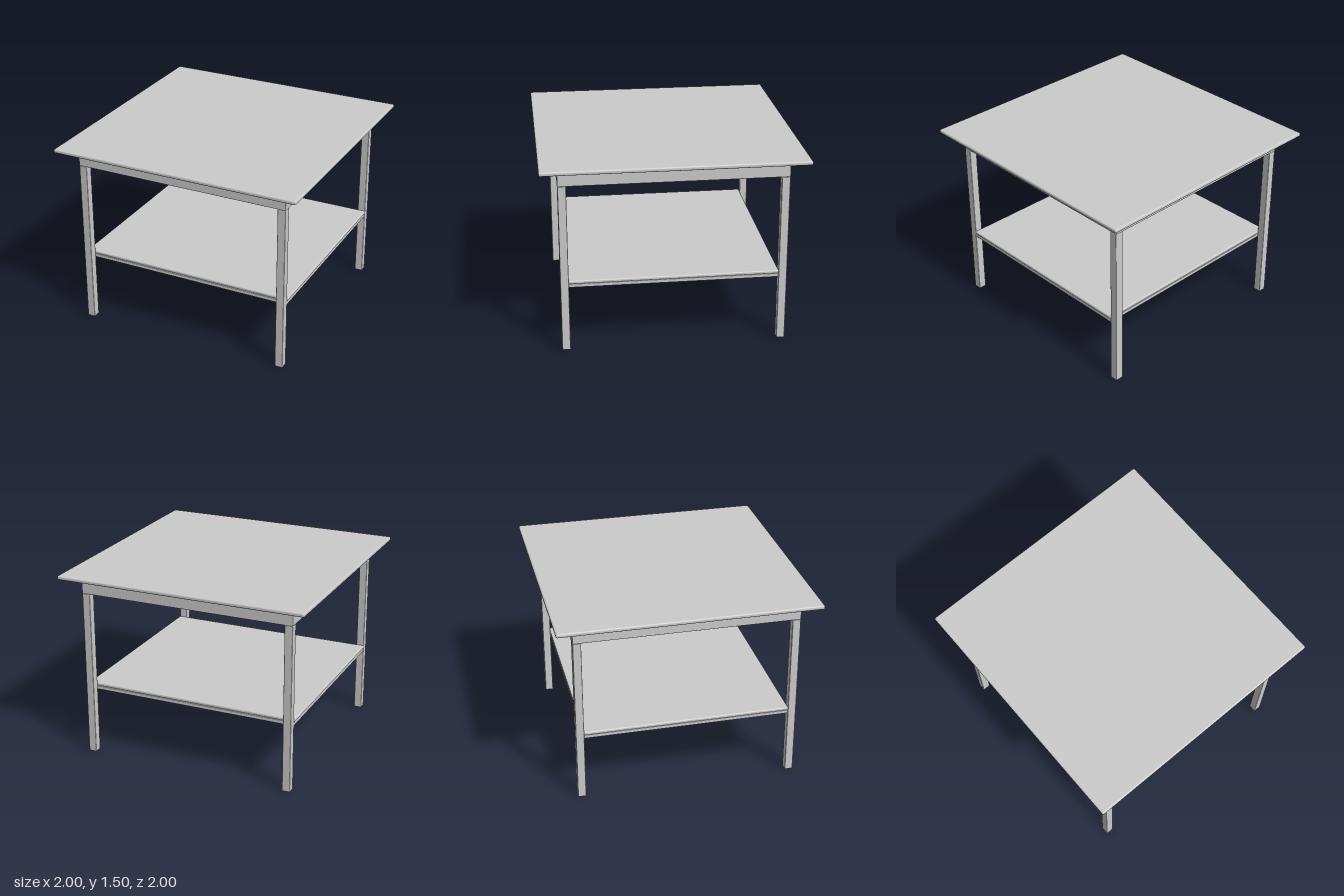
import * as THREE from 'three';
import { RoundedBoxGeometry } from 'three/addons/geometries/RoundedBoxGeometry.js';

const material = new THREE.MeshStandardMaterial({ color: 0xcccccc });

// Softly rounded board given by its size, centre and bottom height
function board(name, [w, h, d], [x, bottom, z], radius = 0.005) {
  const mesh = new THREE.Mesh(new RoundedBoxGeometry(w, h, d, 3, radius), material);
  mesh.name = name;
  mesh.position.set(x, bottom + h / 2, z);
  return mesh;
}

// Rectangular frame of four boards, with outer half sizes hx and hz
function frame(name, hx, hz, thickness, height, bottom, radius) {
  const group = new THREE.Group();
  group.name = name;
  for (const s of [-1, 1]) {
    group.add(
      board(name + 'Long', [2 * hx, height, thickness], [0, bottom, s * (hz - thickness / 2)], radius),
      board(name + 'Short', [thickness, height, 2 * (hz - thickness) + 0.01], [s * (hx - thickness / 2), bottom, 0], radius)
    );
  }
  return group;
}

export function createModel() {
  const table = new THREE.Group();
  table.name = 'sideTable';

  // Square top and the apron under it
  table.add(board('tableTop', [2, 0.032, 2], [0, 1.47, 0], 0.012));
  table.add(frame('apron', 0.865, 0.865, 0.03, 0.132, 1.338, 0.003));

  // Four square legs
  for (const x of [-1, 1]) {
    for (const z of [-1, 1]) {
      table.add(board('leg', [0.064, 1.337, 0.064], [x * 0.833, 0, z * 0.833], 0.006));
    }
  }

  // Lower shelf between the legs, on a slim frame
  table.add(board('shelf', [1.736, 0.027, 1.604], [0, 0.553, 0], 0.01));
  table.add(frame('shelfRail', 0.862, 0.801, 0.03, 0.03, 0.523, 0.005));

  return table;
}
